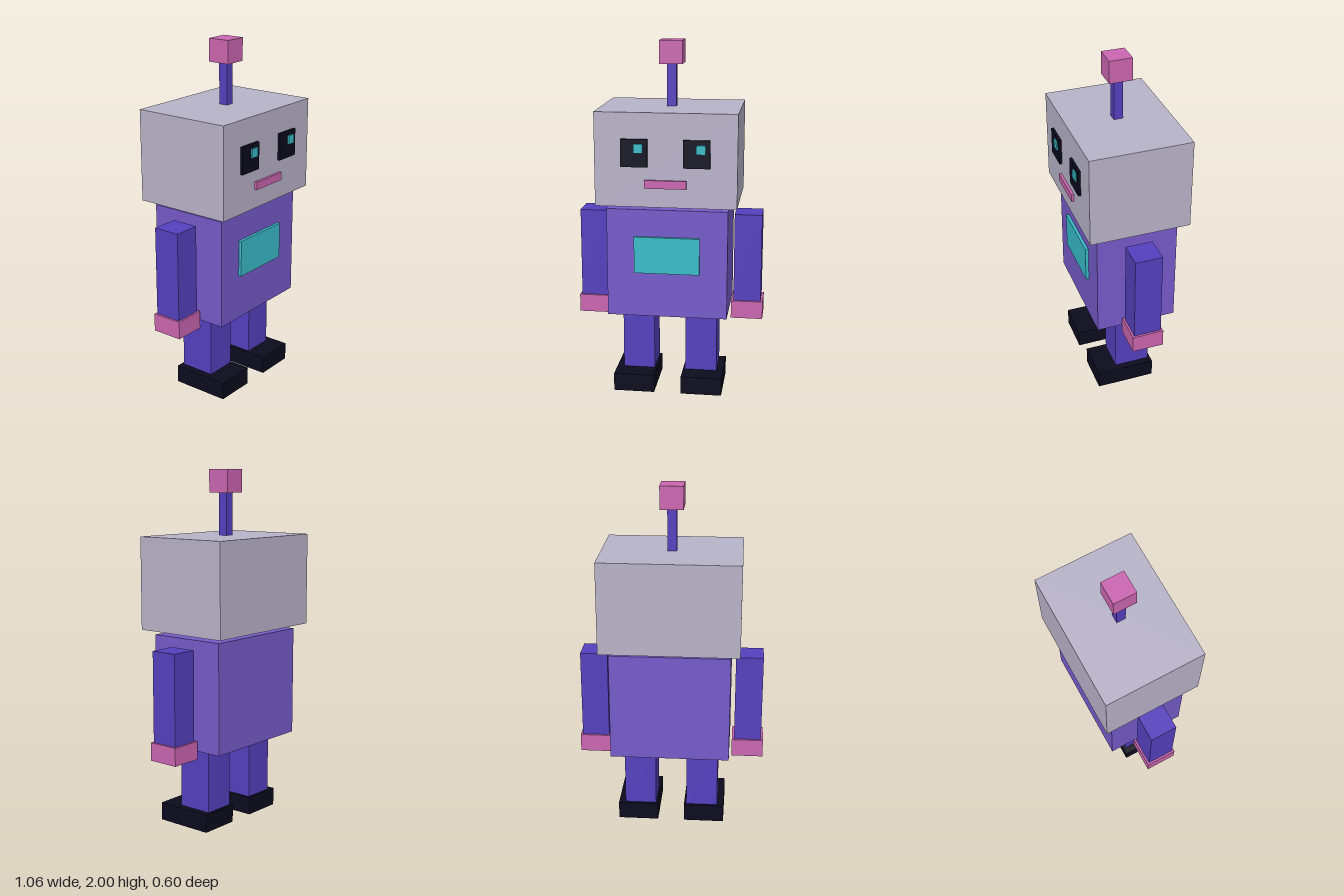
import * as THREE from 'three';

const paint = (name, color) => {
  const m = new THREE.MeshStandardMaterial({ color });
  m.name = name;
  return m;
};

export function createModel() {
  const robot = new THREE.Group();
  robot.name = 'robot';

  const grey = paint('lavender grey', 0xb8b3c9);
  const violet = paint('violet', 0x755bc9);
  const indigo = paint('indigo', 0x5540be);
  const pink = paint('pink', 0xca66b0);
  const teal = paint('teal', 0x39bcca);
  const navy = paint('dark navy', 0x0b0b1e);

  // Box given by its lower and upper limits on each axis
  const block = (name, material, [x0, x1], [y0, y1], [z0, z1]) => {
    const mesh = new THREE.Mesh(new THREE.BoxGeometry(x1 - x0, y1 - y0, z1 - z0), material);
    mesh.position.set((x0 + x1) / 2, (y0 + y1) / 2, (z0 + z1) / 2);
    mesh.name = name;
    robot.add(mesh);
  };
  const mid = -0.012; // depth centre of the body
  const deep = (d) => [mid - d / 2, mid + d / 2];
  const wide = (w) => [-w / 2, w / 2];

  // Head and antenna
  block('head', grey, wide(0.778), [1.118, 1.636], deep(0.572));
  block('antennaRod', indigo, wide(0.052), [1.636, 1.872], deep(0.052));
  block('antennaTip', pink, wide(0.13), [1.872, 2], deep(0.13));

  // Torso and chest panel
  block('torso', violet, wide(0.675), [0.471, 1.09], deep(0.464));
  block('chestPanel', teal, wide(0.366), [0.728, 0.936], [0.22, 0.237]);

  // Face
  const face = 0.274;
  block('mouth', pink, wide(0.23), [1.225, 1.27], [face, face + 0.015]);
  for (const [side, s] of [['left', 1], ['right', -1]]) {
    const span = (a, b) => (s > 0 ? [a, b] : [-b, -a]);
    block(side + 'Eye', navy, span(0.097, 0.243), [1.341, 1.493], [face, face + 0.015]);
    // both glints sit towards the model's left
    const g = s * 0.17 + 0.024;
    block(side + 'EyeGlint', teal, [g - 0.025, g + 0.025], [1.418, 1.468], [face + 0.015, face + 0.023]);

    // Arms and hands
    block(side + 'Arm', indigo, span(0.364, 0.519), [0.532, 1.04], deep(0.157));
    block(side + 'Hand', pink, span(0.351, 0.531), [0.43, 0.532], deep(0.18));

    // Legs and feet
    block(side + 'Leg', indigo, span(0.09, 0.272), [0.103, 0.471], deep(0.204));
    block(side + 'Foot', navy, span(0.077, 0.311), [0, 0.103], [-0.129, 0.209]);
  }
  return robot;
}
